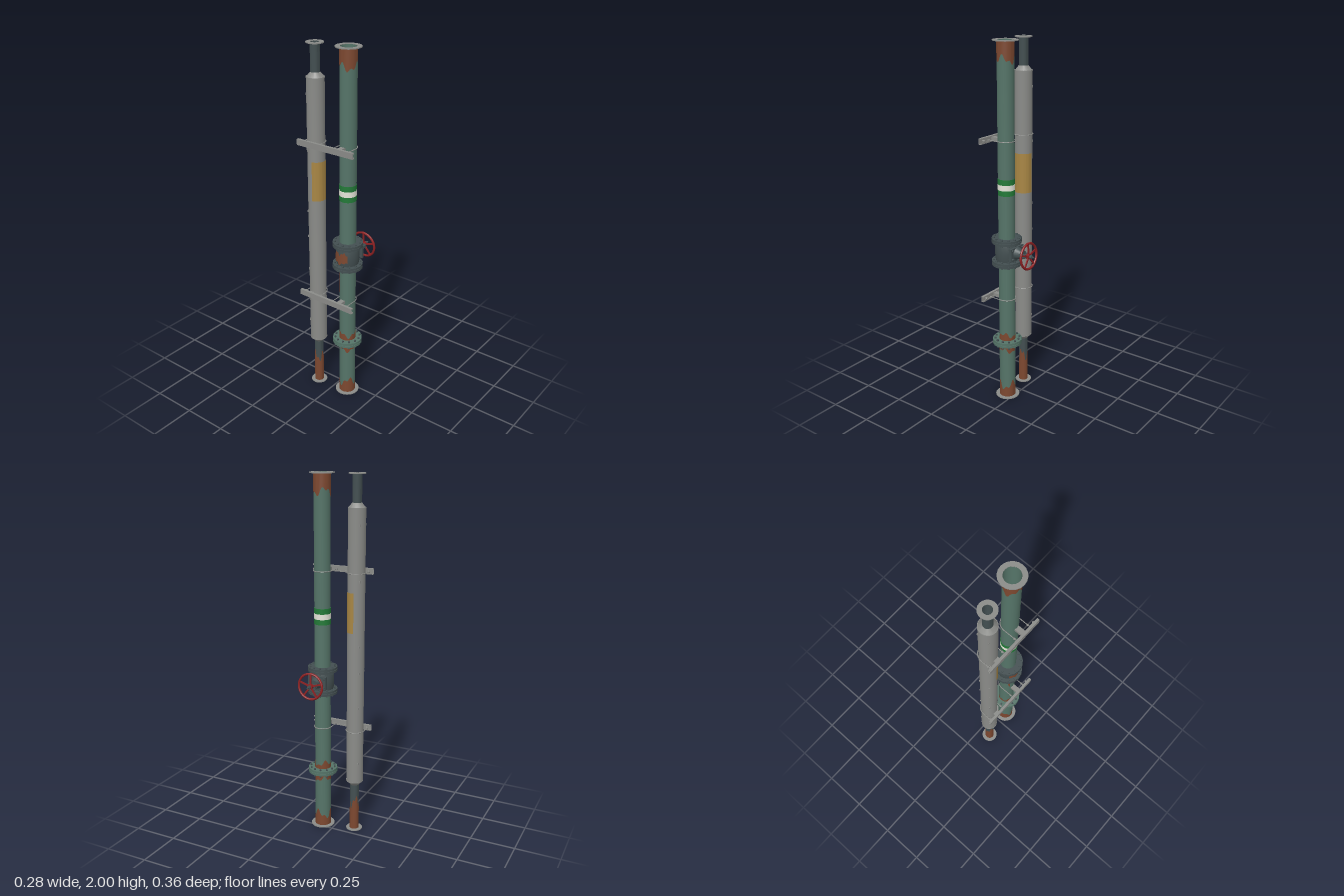
import * as THREE from 'three';
import { toCreasedNormals } from 'three/addons/utils/BufferGeometryUtils.js';

const material = (name, color) => {
  const m = new THREE.MeshStandardMaterial({ color });
  m.name = name;
  return m;
};

export function createModel() {
  const green = material('pipe green', 0x557468);
  const slate = material('dark slate', 0x434f51);
  const grey = material('steel grey', 0x8a8b88);
  const rust = material('rust', 0x7d4830);
  const red = material('wheel red', 0x8c2022);
  const tan = material('label tan', 0xa88644);
  const bandGreen = material('band green', 0x237a38);
  const white = material('band white', 0xe6e6da);

  const model = new THREE.Group();
  const group = (name, parent, x = 0, y = 0, z = 0) => {
    const g = new THREE.Group();
    g.name = name;
    g.position.set(x, y, z);
    parent.add(g);
    return g;
  };
  const add = (name, parent, geo, mat, x = 0, y = 0, z = 0) => {
    const mesh = new THREE.Mesh(toCreasedNormals(geo, 0.6), mat);
    mesh.name = name;
    mesh.position.set(x, y, z);
    parent.add(mesh);
    return mesh;
  };
  const box = (name, parent, w, h, d, mat, x, y, z) =>
    add(name, parent, new THREE.BoxGeometry(w, h, d), mat, x, y, z);
  const cyl = (name, parent, r0, r1, h, mat, x, y, z, n = 12) =>
    add(name, parent, new THREE.CylinderGeometry(r1, r0, h, n), mat, x, y, z);
  const lathe = (name, parent, pts, mat, n = 20) =>
    add(name, parent, new THREE.LatheGeometry(pts.map(p => new THREE.Vector2(...p)), n), mat);
  // Hollow ring between two heights
  const tube = (name, parent, rIn, rOut, y0, y1, mat, n = 20) =>
    lathe(name, parent, [[rIn, y0], [rOut, y0], [rOut, y1], [rIn, y1], [rIn, y0]], mat, n);

  // Thin ragged skin around a pipe; low and high give its edges by angle
  const patch = (name, parent, r, low, high, mat, a0 = 0, a1 = Math.PI * 2) => {
    const n = 40, pos = [], idx = [];
    for (let i = 0; i <= n; i++) {
      const a = a0 + (a1 - a0) * i / n, x = Math.cos(a) * r, z = Math.sin(a) * r;
      pos.push(x, low(a), z, x, high(a), z);
      if (i < n) idx.push(2 * i, 2 * i + 1, 2 * i + 2, 2 * i + 1, 2 * i + 3, 2 * i + 2);
    }
    const g = new THREE.BufferGeometry();
    g.setAttribute('position', new THREE.Float32BufferAttribute(pos, 3));
    g.setIndex(idx);
    return add(name, parent, g, mat);
  };
  const ragged = a => 0.5 + 0.3 * Math.sin(3 * a + 1) + 0.2 * Math.sin(7 * a);

  const boltCircle = (parent, count, r, y, h) => {
    for (let i = 0; i < count; i++) {
      const a = (i + 0.5) / count * Math.PI * 2;
      cyl('flangeBolt', parent, 0.006, 0.006, h, slate, Math.cos(a) * r, y, Math.sin(a) * r, 6);
    }
  };

  // Main pipe with end rings
  const main = group('mainPipe', model, -0.042, 0, 0.077);
  tube('mainPipeWall', main, 0.042, 0.0445, 0.002, 1.998, green);
  for (const y of [0, 1.995]) tube('mainEndRing', main, 0.042, 0.067, y, y + 0.005, grey);

  // Painted bands
  tube('greenBand', main, 0.044, 0.0455, 1.203, 1.292, bandGreen);
  tube('whiteBand', main, 0.044, 0.0462, 1.232, 1.262, white);

  // Rust on the main pipe
  patch('bottomRust', main, 0.0455, () => 0.005, a => 0.04 + 0.07 * ragged(a), rust);
  patch('topRust', main, 0.0455, a => 1.935 - 0.06 * ragged(a + 2), () => 1.995, rust);
  patch('upperJointRust', main, 0.0455, () => 0.36, a => 0.37 + 0.045 * ragged(a + 1), rust);
  patch('lowerJointRust', main, 0.0455, a => 0.315 - 0.04 * ragged(a + 4), () => 0.34, rust);
  patch('rustStreak', main, 0.0455, a => 0.68 - 0.04 * ragged(a * 3), () => 0.8, rust, 3.6, 3.9);

  // Flanged joint
  const joint = group('pipeJoint', main);
  tube('lowerJointFlange', joint, 0.044, 0.082, 0.333, 0.346, green, 16);
  tube('upperJointFlange', joint, 0.044, 0.082, 0.348, 0.361, green, 16);
  boltCircle(joint, 12, 0.068, 0.345, 0.048);

  // Gate valve body between two flange pairs
  const valve = group('gateValve', main);
  lathe('valveBody', valve, [[0.044, 0.83], [0.058, 0.83], [0.062, 0.85], [0.064, 0.887],
    [0.062, 0.925], [0.058, 0.94], [0.044, 0.94]], slate);
  for (const [y, s] of [[0.823, -1], [0.95, 1]]) {
    tube('valveFlange', valve, 0.044, 0.082, y - s * 0.007 - 0.006, y - s * 0.007 + 0.006, slate, 16);
    tube('matingFlange', valve, 0.044, 0.082, y + s * 0.007 - 0.006, y + s * 0.007 + 0.006, slate, 16);
    boltCircle(valve, 12, 0.07, y, 0.04);
  }
  patch('valveRust', valve, 0.066, a => 0.865 - 0.02 * ragged(a * 2), a => 0.9 + 0.025 * ragged(a * 3), rust, 2.5, 3.9);
  box('gate', valve, 0.026, 0.02, 0.072, slate, 0.038, 0.887, 0);

  // Bonnet, yoke and stem, local y points along +x
  const bonnet = group('bonnet', valve, 0.042, 0.887, 0);
  bonnet.rotation.z = -Math.PI / 2;
  box('bonnetFlange', bonnet, 0.07, 0.014, 0.108, slate, 0, 0.022, 0);
  for (const z of [-0.043, 0.043])
    for (const x of [-0.025, 0.025]) cyl('bonnetBolt', bonnet, 0.006, 0.006, 0.03, slate, x, 0.022, z, 6);
  cyl('bonnetNeck', bonnet, 0.036, 0.022, 0.035, slate, 0, 0.044, 0, 16);
  cyl('gland', bonnet, 0.024, 0.024, 0.008, slate, 0, 0.066, 0, 16);
  for (const z of [-0.02, 0.02]) box('yokeArm', bonnet, 0.014, 0.035, 0.006, slate, 0, 0.075, z);
  box('yokeBridge', bonnet, 0.02, 0.008, 0.046, slate, 0, 0.09, 0);
  cyl('stem', bonnet, 0.005, 0.005, 0.08, slate, 0, 0.099, 0, 8);
  cyl('stemNut', bonnet, 0.01, 0.01, 0.016, slate, 0, 0.118, 0, 6);

  // Handwheel, slightly tilted, facing +x
  const wheel = group('handwheel', model, 0.104, 0.887, 0.077);
  wheel.rotation.z = 0.07;
  add('wheelRim', wheel, new THREE.TorusGeometry(0.07, 0.0065, 8, 28), red).rotation.y = Math.PI / 2;
  cyl('wheelHub', wheel, 0.015, 0.015, 0.018, red, 0, 0, 0, 12).rotation.z = Math.PI / 2;
  for (let i = 0; i < 5; i++) {
    const spoke = group('wheelSpoke', wheel);
    spoke.rotation.x = i / 5 * Math.PI * 2;
    box('spokeBar', spoke, 0.006, 0.058, 0.009, red, 0, 0.04, 0);
  }

  // Insulated secondary pipe
  const small = group('insulatedPipe', model, -0.068, 0, -0.11);
  tube('smallPipeWall', small, 0.0235, 0.025, 0.002, 1.998, slate, 16);
  for (const y of [0, 1.995]) tube('smallEndRing', small, 0.0235, 0.046, y, y + 0.005, grey);
  patch('smallPipeRust', small, 0.026, () => 0.005, a => 0.13 + 0.09 * ragged(a + 3), rust);
  lathe('insulation', small, [[0.025, 0.278], [0.047, 0.305], [0.047, 1.825], [0.025, 1.852]], grey);
  for (const y of [0.305, 1.825]) tube('insulationHem', small, 0.045, 0.0478, y - 0.004, y + 0.004, grey);
  for (const y of [0.42, 0.75, 0.95, 1.1, 1.45, 1.74])
    for (const s of [-1, 1]) box('jacketLatch', small, 0.006, 0.012, 0.006, grey, s * 0.033, y, -0.033);
  patch('label', small, 0.0485, () => 1.172, () => 1.39, tan, -0.12, 3.0);

  // U-bolt around a pipe: straight legs towards -x and a half circle
  const uBolt = (parent, x, z, r) => {
    const pts = [new THREE.Vector3(-0.125, 0, z - r), new THREE.Vector3((x - 0.125) / 2, 0, z - r)];
    for (let i = 0; i <= 8; i++) {
      const a = -Math.PI / 2 + i / 8 * Math.PI;
      pts.push(new THREE.Vector3(x + Math.cos(a) * r, 0, z + Math.sin(a) * r));
    }
    pts.push(new THREE.Vector3((x - 0.125) / 2, 0, z + r), new THREE.Vector3(-0.125, 0, z + r));
    const curve = new THREE.CatmullRomCurve3(pts, false, 'centripetal');
    add('uBolt', parent, new THREE.TubeGeometry(curve, 32, 0.0025, 6), grey);
    for (const s of [-1, 1])
      cyl('uBoltNut', parent, 0.006, 0.006, 0.008, grey, -0.113, 0, z + s * r, 6).rotation.z = Math.PI / 2;
  };

  // Wall brackets: open channels with clamps and fixing bolts
  for (const y of [0.608, 1.492]) {
    const bracket = group('wallBracket', model, 0, y, 0);
    box('channelWeb', bracket, 0.004, 0.032, 0.356, grey, -0.14, 0, 0);
    for (const s of [-1, 1]) {
      box('channelFlange', bracket, 0.014, 0.003, 0.356, grey, -0.134, s * 0.0145, 0);
      box('channelLip', bracket, 0.003, 0.008, 0.356, grey, -0.1285, s * 0.012, 0);
      cyl('fixingBolt', bracket, 0.006, 0.006, 0.014, grey, -0.126, 0, s * 0.154, 6).rotation.z = Math.PI / 2;
    }
    box('smallPipePad', bracket, 0.012, 0.02, 0.03, grey, -0.121, 0, -0.11);
    box('mainPipePad', bracket, 0.044, 0.02, 0.028, grey, -0.106, 0, 0.077);
    uBolt(bracket, -0.068, -0.11, 0.0505);
    uBolt(bracket, -0.042, 0.077, 0.048);
  }
  return model;
}
